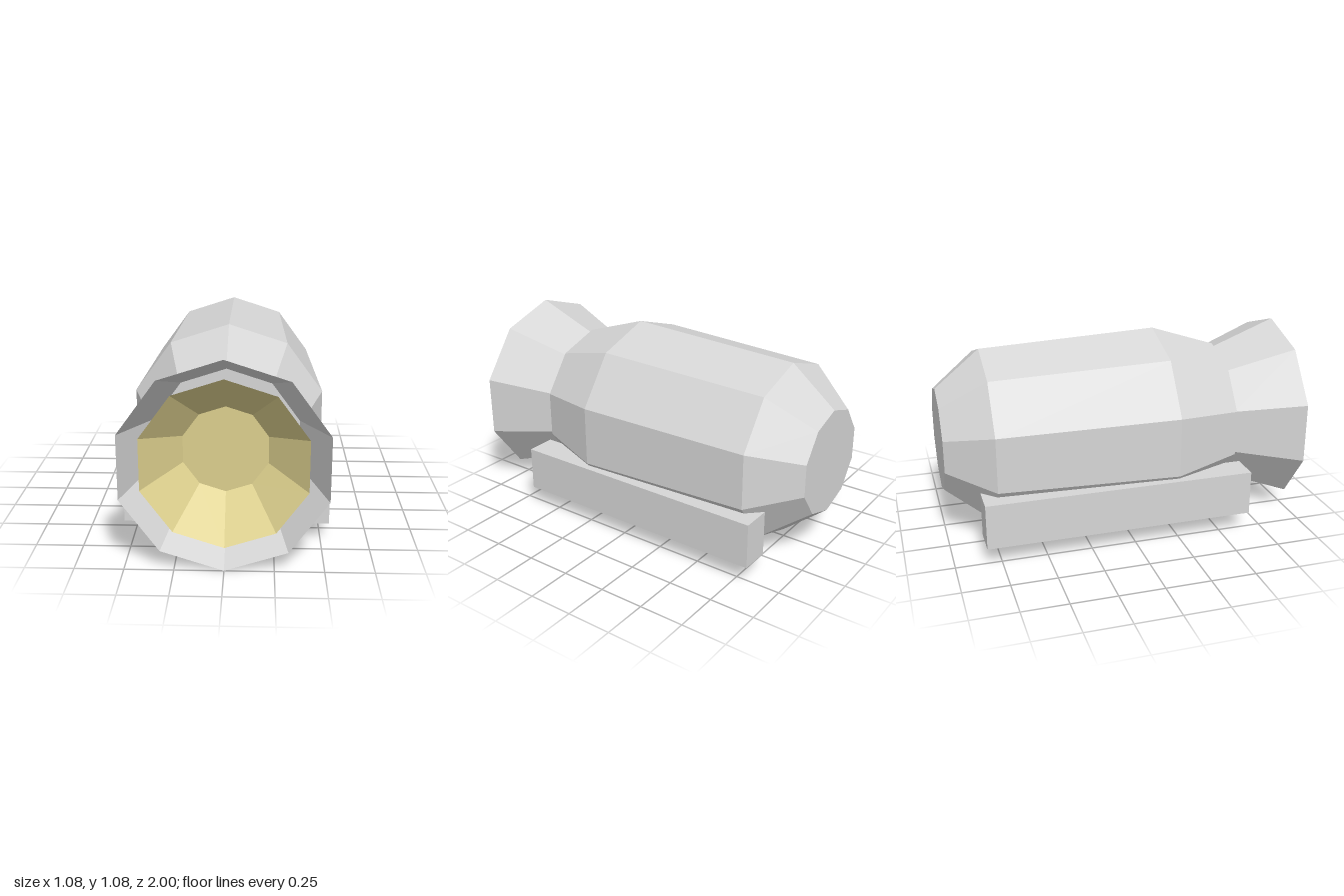
import * as THREE from 'three';

const SIDES = 10;
const AXIS_Y = 0.542;

// Faceted ring surface around the z axis from [radius, z] pairs
function facetedLathe(profile) {
  const points = profile.map(([r, z]) => new THREE.Vector2(r, z));
  const geometry = new THREE.LatheGeometry(points, SIDES).rotateX(Math.PI / 2).toNonIndexed();
  geometry.computeVertexNormals();
  return geometry.translate(0, AXIS_Y, 0);
}

// Box without its underside
function openBottomBox(w, h, d) {
  const geometry = new THREE.BoxGeometry(w, h, d);
  const index = Array.from(geometry.index.array);
  index.splice(18, 6);
  geometry.setIndex(index);
  geometry.clearGroups();
  return geometry;
}

export function createModel() {
  const group = new THREE.Group();
  const metal = new THREE.MeshStandardMaterial({ color: 0xd6d6d6, side: THREE.DoubleSide });
  metal.name = 'light grey metal';
  const gold = new THREE.MeshStandardMaterial({ color: 0xdccf8d, side: THREE.DoubleSide });
  gold.name = 'pale gold';

  const add = (name, geometry, material) => {
    const mesh = new THREE.Mesh(geometry, material);
    mesh.name = name;
    group.add(mesh);
    return mesh;
  };

  // Closed barrel, tapered at both ends
  add('body', facetedLathe([[0, -1], [0.293, -1], [0.499, -0.75], [0.542, 0.25], [0.417, 0.625], [0, 0.625]]), metal);

  // Open flared shell at the front
  add('flare', facetedLathe([[0.395, 0.622], [0.542, 1]]), metal);

  // Bowl set inside the flare
  add('bowl', facetedLathe([[0.437, 0.96], [0.23, 0.73], [0, 0.73]]), gold);

  // Side rails, open underneath
  for (const side of [1, -1]) {
    const rail = add(side > 0 ? 'leftRail' : 'rightRail', openBottomBox(0.166, 0.251, 1.495), metal);
    rail.position.set(side * 0.459, 0.231, -0.083);
  }
  return group;
}
